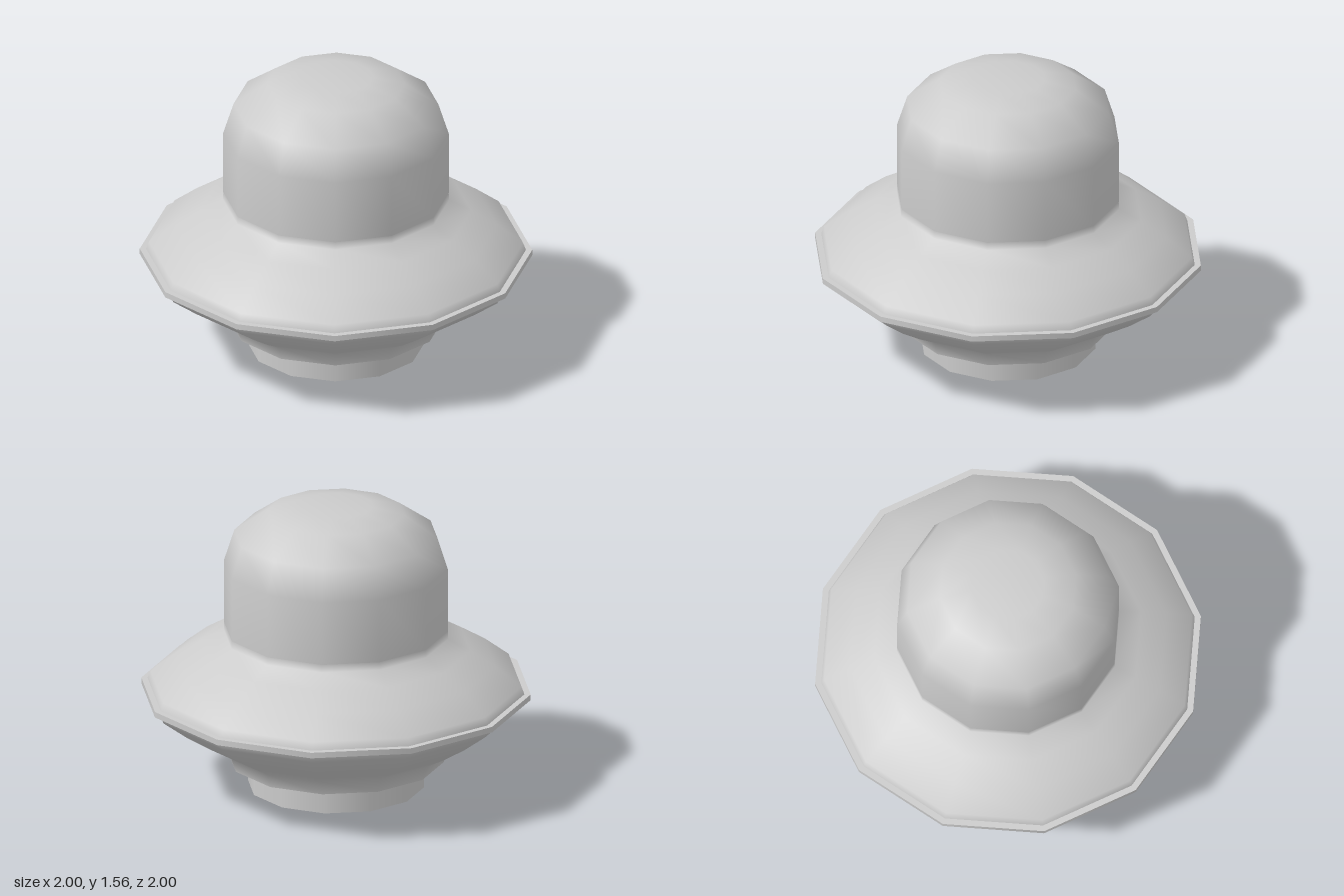
import * as THREE from 'three';
import { mergeGeometries } from 'three/addons/utils/BufferGeometryUtils.js';

const SIDES = 12;
const CORNER = 1 / Math.cos(Math.PI / SIDES); // flat-to-flat half width -> corner radius

// Twelve-sided turned part. Each strip is a bottom-to-top profile of
// [half width, height]; strips are smooth inside and creased between.
function turned(name, strips, side = THREE.FrontSide) {
  const parts = strips.map((strip) => new THREE.LatheGeometry(
    strip.map(([r, y]) => new THREE.Vector2(r * CORNER, y)),
    SIDES, Math.PI / SIDES));
  const mesh = new THREE.Mesh(mergeGeometries(parts),
    new THREE.MeshStandardMaterial({ color: 0xcccccc, side }));
  mesh.name = name;
  return mesh;
}

export function createModel() {
  const group = new THREE.Group();
  group.name = 'domedSaucer';

  group.add(
    // Open collar the model stands on
    turned('baseCollar', [[[0.453, 0], [0.453, 0.145]]], THREE.DoubleSide),

    // Flat underside and lower bowl
    turned('lowerBody', [
      [[0, 0.145], [0.553, 0.145]],
      [[0.553, 0.145], [0.577, 0.222], [0.69, 0.287], [0.82, 0.372],
        [0.953, 0.475], [0.968, 0.515]],
    ]),

    // Thin sharp-edged band round the widest point
    turned('rimBand', [
      [[0.955, 0.515], [1, 0.515]],
      [[1, 0.515], [1, 0.546]],
      [[1, 0.546], [0.955, 0.546]],
    ]),

    // Upper saucer, ending in a short neck under the dome
    turned('upperBody', [
      [[0.968, 0.546], [0.953, 0.588], [0.82, 0.695], [0.69, 0.777],
        [0.577, 0.838], [0.574, 0.88]],
    ]),

    // Straight-walled dome with a flat crown
    turned('dome', [
      [[0.575, 0.88], [0.575, 1.228], [0.522, 1.4], [0.352, 1.523],
        [0.19, 1.56], [0, 1.56]],
    ]),
  );
  return group;
}
